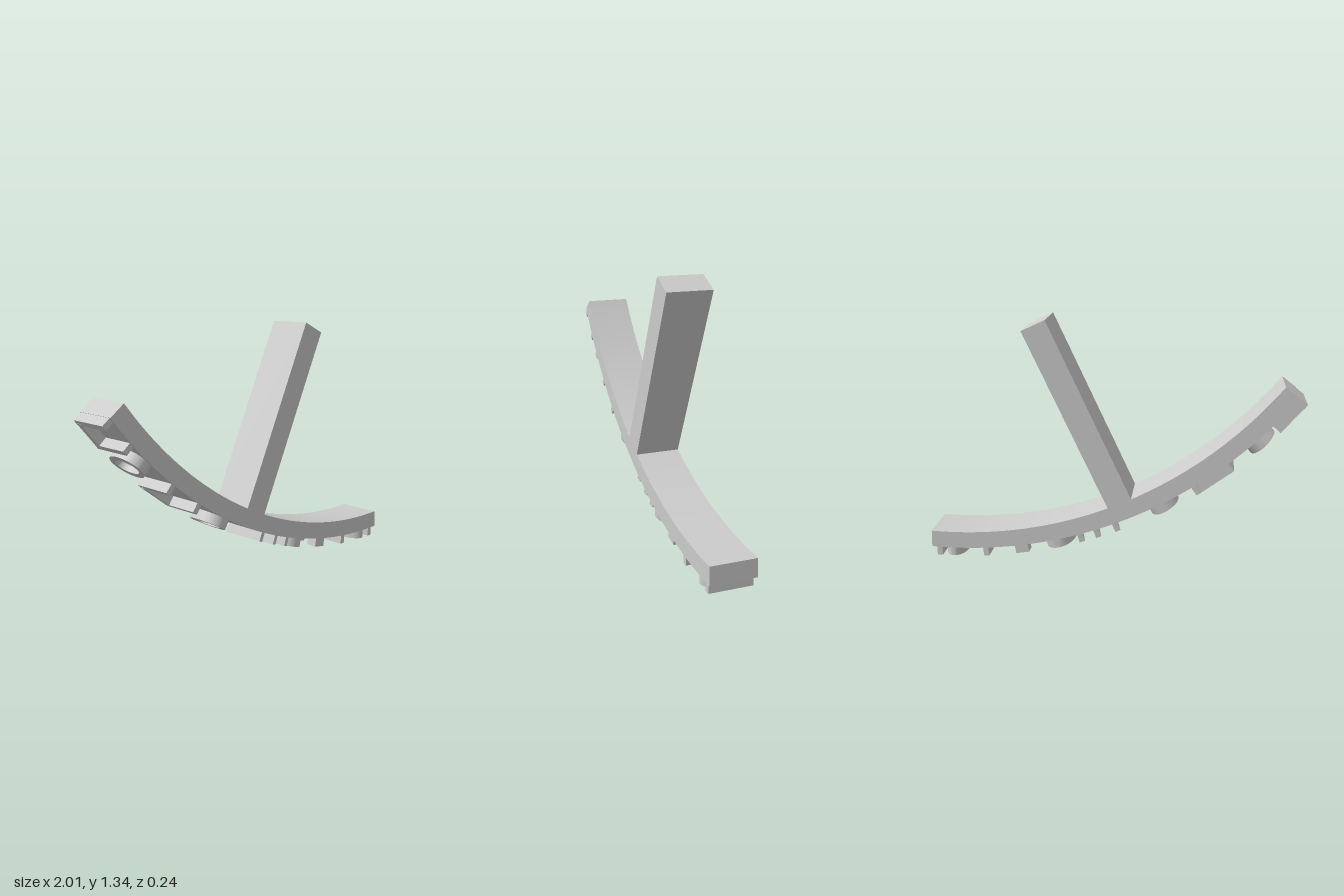
import * as THREE from 'three';
import { toCreasedNormals } from 'three/addons/utils/BufferGeometryUtils.js';

const material = new THREE.MeshStandardMaterial({ color: 0xcccccc });
const CX = 0.9, CY = 2.413;          // centre of the curved plate
const R_IN = 2.266, R_OUT = 2.361;   // plate radii
const R_RELIEF = 2.413;              // outer face of the raised relief
const HALF = 0.12;                   // half depth of plate and handle
const rad = THREE.MathUtils.degToRad;

function add(parent, name, geometry) {
  const mesh = new THREE.Mesh(geometry, material);
  mesh.name = name;
  parent.add(mesh);
  return mesh;
}

// Group turned about the plate's centre; angle in degrees from straight down towards -x
function radialGroup(parent, name, angle) {
  const g = new THREE.Group();
  g.name = name;
  g.position.set(CX, CY, 0);
  g.rotation.z = -rad(angle);
  parent.add(g);
  return g;
}

const SINK = 0.012;
const RELIEF = R_RELIEF - R_OUT + SINK;

// Raised bar: w along the curve, d across it, skew turns it on the surface
function rib(parent, angle, w, d, z = 0, skew = 0) {
  const g = radialGroup(parent, 'reliefRib', angle);
  const bar = add(g, 'rib', new THREE.BoxGeometry(w, RELIEF, d));
  bar.position.set(0, -R_RELIEF + RELIEF / 2, z);
  bar.rotation.y = skew;
}

// Raised oval ring
function ring(parent, angle, rx, rz, wall) {
  const s = new THREE.Shape().absellipse(0, 0, rx, rz, 0, Math.PI * 2);
  s.holes.push(new THREE.Path().absellipse(0, 0, rx - wall, rz - wall, 0, Math.PI * 2, true));
  const geo = new THREE.ExtrudeGeometry(s, { depth: RELIEF, bevelEnabled: false, curveSegments: 32 });
  geo.rotateX(Math.PI / 2);
  const g = radialGroup(parent, 'reliefRing', angle);
  add(g, 'ring', toCreasedNormals(geo, 0.6)).position.y = -R_OUT + SINK;
}

export function createModel() {
  const model = new THREE.Group();
  model.name = 'rockerStamp';

  // Curved plate
  const a0 = -Math.PI / 2 - rad(52.4), a1 = -Math.PI / 2 + rad(2.43);
  const s = new THREE.Shape();
  s.absarc(CX, CY, R_OUT, a0, a1, false);
  s.absarc(CX, CY, R_IN, a1, a0, true);
  s.closePath();
  const plate = new THREE.ExtrudeGeometry(s, { depth: HALF * 2, bevelEnabled: false, curveSegments: 48 });
  plate.translate(0, 0, -HALF);
  add(model, 'curvedPlate', toCreasedNormals(plate, 0.5));

  // Handle standing square to the plate at its middle
  const top = 1.212, bottom = 2.272;
  const h = radialGroup(model, 'handle', 25);
  add(h, 'handleBar', new THREE.BoxGeometry(0.139, bottom - top, HALF * 2)).position.y = -(top + bottom) / 2;

  // Plain relief pattern under the plate
  const relief = new THREE.Group();
  relief.name = 'relief';
  model.add(relief);
  for (const angle of [44.9, 29.8, 14.9]) ring(relief, angle, 0.083, 0.112, 0.032);
  ring(relief, 0.5, 0.062, 0.112, 0.03);
  // full-width cross ribs
  for (const angle of [52.0, 48.0, 39.9, 34.9, 5.0, -1.4]) rib(relief, angle, 0.03, 0.226);
  // lengthwise rails towards the back
  rib(relief, 50, 0.16, 0.032, -0.09);
  rib(relief, 37.4, 0.2, 0.032, -0.09);
  // slanted ribs
  for (const angle of [22.6, 19.9, 17.6]) rib(relief, angle, 0.03, 0.215, 0, 0.22);
  // short block pairs
  for (const z of [-0.075, 0.075]) rib(relief, 9.9, 0.075, 0.06, z);

  return model;
}
